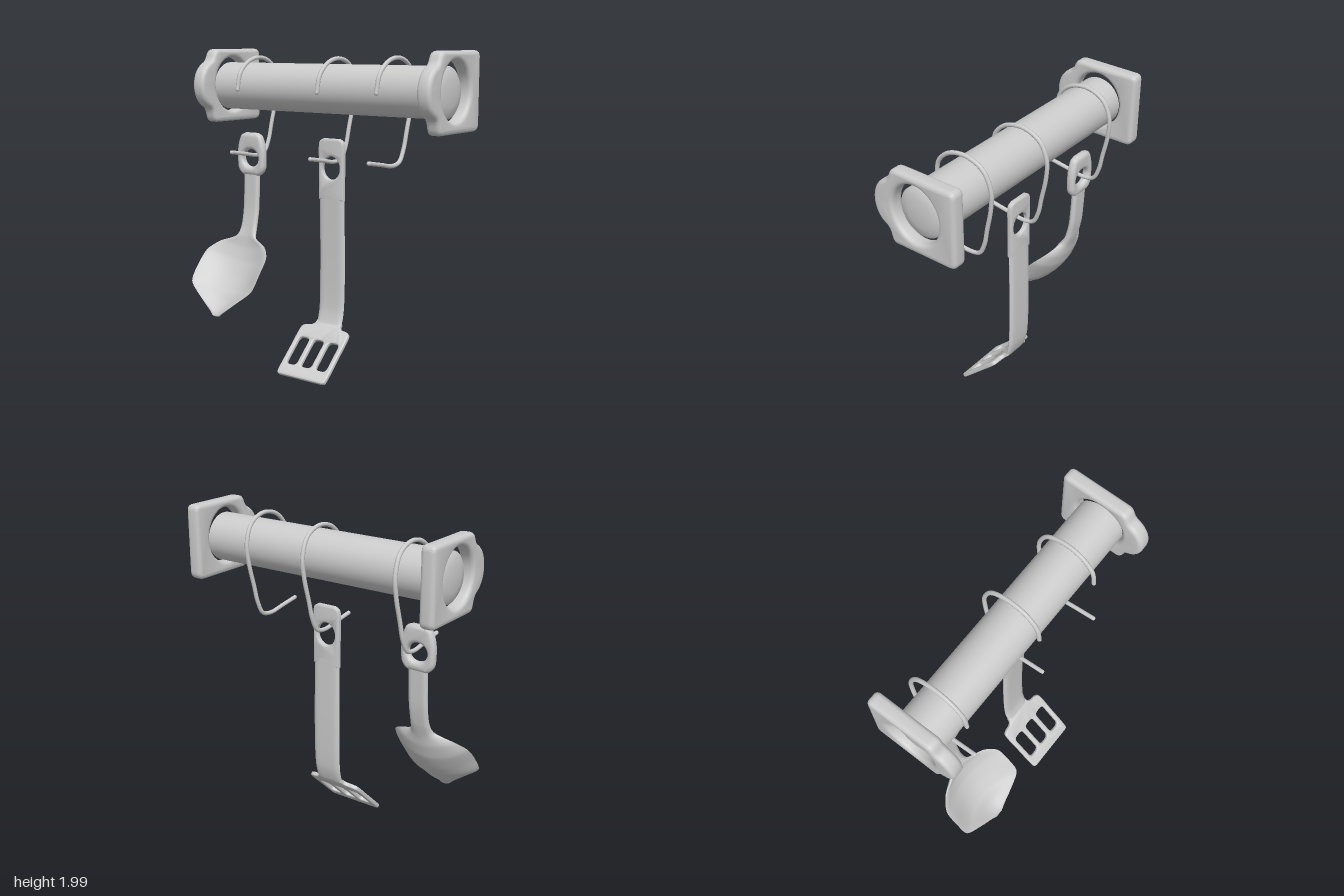
import * as THREE from 'three';
import { toCreasedNormals } from 'three/addons/utils/BufferGeometryUtils.js';

const grey = new THREE.MeshStandardMaterial({ color: 0xcccccc });

function add(parent, name, geometry) {
  const mesh = new THREE.Mesh(geometry, grey);
  mesh.name = name;
  parent.add(mesh);
  return mesh;
}

// Extruded plate with rounded edges, centred on its thickness
function plate(shape, thickness, bevel) {
  const geo = new THREE.ExtrudeGeometry(shape, {
    depth: thickness - 2 * bevel, bevelThickness: bevel, bevelSize: bevel,
    bevelOffset: -bevel, bevelSegments: 4, curveSegments: 20,
  });
  geo.translate(0, 0, -thickness / 2 + bevel);
  return toCreasedNormals(geo, 0.7);
}

function ellipseHole(x, y, rx, ry) {
  return new THREE.Path().absellipse(x, y, rx, ry, 0, Math.PI * 2, true);
}

function roundSlot(x, y, w, h, r) {
  const p = new THREE.Path();
  p.moveTo(x - w / 2, y);
  for (const [sx, sy] of [[-1, 1], [1, 1], [1, -1], [-1, -1]]) {
    const cx = x + sx * w / 2, cy = y + sy * h / 2;
    const vertical = sx * sy < 0;
    const from = vertical ? [cx, cy - sy * r] : [cx - sx * r, cy];
    const to = vertical ? [cx - sx * r, cy] : [cx, cy - sy * r];
    p.lineTo(...from);
    p.quadraticCurveTo(cx, cy, ...to);
  }
  p.closePath();
  return p;
}

// Outline symmetric about x = 0, from a smooth right half running bottom to top
function mirroredShape(points) {
  const half = new THREE.CatmullRomCurve3(
    points.map(([x, y]) => new THREE.Vector3(x, y, 0)), false, 'centripetal').getPoints(points.length * 5);
  const right = half.map(p => new THREE.Vector2(p.x, p.y));
  const left = right.map(p => new THREE.Vector2(-p.x, p.y)).reverse();
  return new THREE.Shape([...right, ...left]);
}

// Loft through sections [x, y, halfWidth, dishDepth, halfThickness] running downward
function loft(sections, steps = 60, sides = 32) {
  const path = new THREE.CatmullRomCurve3(sections.map(s => new THREE.Vector3(s[0], s[1], s[2])), false, 'catmullrom', 0.4);
  const form = new THREE.CatmullRomCurve3(sections.map(s => new THREE.Vector3(s[3], s[4], 0)), false, 'catmullrom', 0.4);
  const pos = [], index = [];
  for (let i = 0; i <= steps; i++) {
    const t = i / steps, c = path.getPoint(t), f = form.getPoint(t);
    const a = path.getPoint(Math.max(0, t - 0.03)), b = path.getPoint(Math.min(1, t + 0.03));
    const tan = new THREE.Vector2(b.x - a.x, b.y - a.y).normalize();
    for (let j = 0; j < sides; j++) {
      const th = j / sides * Math.PI * 2, u = Math.cos(th);
      const off = f.x * (1 - u * u) + Math.sign(Math.sin(th)) * f.y * (1 - u ** 8);
      pos.push(c.x - tan.y * off, c.y + tan.x * off, u * Math.max(0.001, c.z));
      if (i < steps) {
        const k = i * sides + j, n = i * sides + (j + 1) % sides;
        index.push(k, k + sides, n, n, k + sides, n + sides);
      }
    }
  }
  const geo = new THREE.BufferGeometry();
  geo.setAttribute('position', new THREE.Float32BufferAttribute(pos, 3));
  geo.setIndex(index);
  return toCreasedNormals(geo, 0.9);
}

// Square bracket with a lobe on one side and a hole for the rail
function bracketShape() {
  const s = new THREE.Shape();
  s.moveTo(-0.09, 1.535);
  s.lineTo(0.27, 1.535);
  s.quadraticCurveTo(0.318, 1.535, 0.318, 1.585);
  s.lineTo(0.318, 1.96);
  s.quadraticCurveTo(0.318, 2.0, 0.28, 2.0);
  s.lineTo(-0.07, 2.0);
  s.bezierCurveTo(-0.14, 2.0, -0.11, 1.94, -0.165, 1.915);
  s.bezierCurveTo(-0.27, 1.86, -0.27, 1.69, -0.17, 1.635);
  s.bezierCurveTo(-0.12, 1.61, -0.15, 1.535, -0.09, 1.535);
  s.holes.push(ellipseHole(0.05, 1.775, 0.16, 0.174));
  return s;
}

// Wire hook wrapped over the rail, leaning slightly along it
function hookGeometry() {
  const pts = [[-0.195, 1.365], [-0.07, 1.345], [0.05, 1.327], [0.125, 1.345], [0.165, 1.42],
    [0.19, 1.53], [0.224, 1.68], [0.23, 1.8], [0.18, 1.91], [0.07, 1.957], [-0.05, 1.935],
    [-0.13, 1.86], [-0.152, 1.76]]
    .map(([x, y]) => new THREE.Vector3(x, y, (y - 1.33) * 0.045));
  const wire = new THREE.CatmullRomCurve3(pts);
  return { tube: new THREE.TubeGeometry(wire, 90, 0.013, 10), ends: [pts[0], pts[pts.length - 1]] };
}

export function createModel() {
  const model = new THREE.Group();
  model.name = 'utensilRail';

  // Rail with softly domed ends
  const profile = [[0, -0.835], [0.08, -0.83], [0.13, -0.82], [0.15, -0.805], [0.15, 0.825],
    [0.13, 0.84], [0.08, 0.85], [0, 0.855]].map(p => new THREE.Vector2(...p));
  const rail = add(model, 'rail', toCreasedNormals(new THREE.LatheGeometry(profile, 48), 0.8));
  rail.rotation.x = Math.PI / 2;
  rail.position.set(0.05, 1.765, 0);

  // End brackets
  const bracket = plate(bracketShape(), 0.09, 0.025);
  add(model, 'frontBracket', bracket).position.z = 0.845;
  add(model, 'backBracket', bracket).position.z = -0.82;

  // Hooks
  const { tube, ends } = hookGeometry();
  for (const [name, x, y, z] of [['frontHook', 0, 0, 0.465], ['middleHook', 0.036, -0.01, 0.015], ['backHook', 0.036, -0.01, -0.615]]) {
    const hook = new THREE.Group();
    hook.name = name;
    hook.position.set(x, y, z);
    add(hook, 'wire', tube);
    for (const e of ends) add(hook, 'wireEnd', new THREE.SphereGeometry(0.013, 10, 8)).position.copy(e);
    model.add(hook);
  }

  // Spatula: pierced head, bent handle, slotted blade
  const spatula = new THREE.Group();
  spatula.name = 'spatula';
  spatula.position.z = 0.018;
  const top = mirroredShape([[0.094, 1.08], [0.094, 1.2], [0.096, 1.34], [0.096, 1.41], [0.088, 1.445], [0.06, 1.462]]);
  top.holes.push(ellipseHole(0, 1.28, 0.065, 0.072));
  const head = add(spatula, 'handleTop', plate(top, 0.034, 0.012));
  head.rotation.y = Math.PI / 2;
  head.position.x = 0.058;
  add(spatula, 'handle', loft([[0.058, 1.12, 0.094, 0, 0.017], [0.062, 0.9, 0.095, 0, 0.017],
    [0.064, 0.7, 0.096, 0, 0.017], [0.062, 0.5, 0.096, 0, 0.017], [0.054, 0.38, 0.095, 0, 0.017],
    [0.03, 0.295, 0.095, 0, 0.016], [-0.01, 0.25, 0.095, 0, 0.013]]));
  const bladeShape = mirroredShape([[0.165, -0.41], [0.182, -0.402], [0.186, -0.38], [0.187, -0.2],
    [0.187, -0.08], [0.18, -0.05], [0.155, -0.036], [0.12, -0.03], [0.1, -0.015], [0.095, 0.01]]);
  for (const x of [-0.114, 0, 0.114]) bladeShape.holes.push(roundSlot(x, -0.23, 0.08, 0.2, 0.03));
  const bladeGeo = plate(bladeShape, 0.028, 0.01);
  bladeGeo.rotateY(Math.PI / 2);
  const blade = add(spatula, 'blade', bladeGeo);
  blade.rotation.z = -0.81;
  blade.position.set(0.03, 0.295, 0);
  model.add(spatula);

  // Ladle: pierced head, then neck and dished bowl in one sweep
  const ladle = new THREE.Group();
  ladle.name = 'ladle';
  ladle.position.z = -0.625;
  const loop = mirroredShape([[0.06, 1.185], [0.085, 1.2], [0.106, 1.23], [0.112, 1.28], [0.11, 1.36],
    [0.098, 1.41], [0.078, 1.45], [0.045, 1.465]]);
  loop.holes.push(ellipseHole(0, 1.3, 0.064, 0.057));
  const loopMesh = add(ladle, 'handleLoop', plate(loop, 0.055, 0.024));
  loopMesh.rotation.y = Math.PI / 2;
  loopMesh.position.x = 0.05;
  add(ladle, 'neckAndBowl', loft([[0.05, 1.22, 0.064, 0, 0.02], [0.045, 1.1, 0.064, 0, 0.02],
    [0.036, 0.96, 0.064, 0, 0.02], [0.012, 0.85, 0.065, 0.005, 0.02], [-0.02, 0.785, 0.085, 0.02, 0.019],
    [-0.06, 0.745, 0.19, 0.06, 0.018], [-0.12, 0.69, 0.255, 0.1, 0.017], [-0.2, 0.6, 0.265, 0.12, 0.016],
    [-0.27, 0.5, 0.255, 0.11, 0.016], [-0.3, 0.41, 0.145, 0.075, 0.015], [-0.314, 0.345, 0.06, 0.022, 0.013],
    [-0.318, 0.318, 0.03, 0.006, 0.01], [-0.319, 0.312, 0.004, 0, 0.002]], 96, 40));
  model.add(ladle);

  return model;
}
